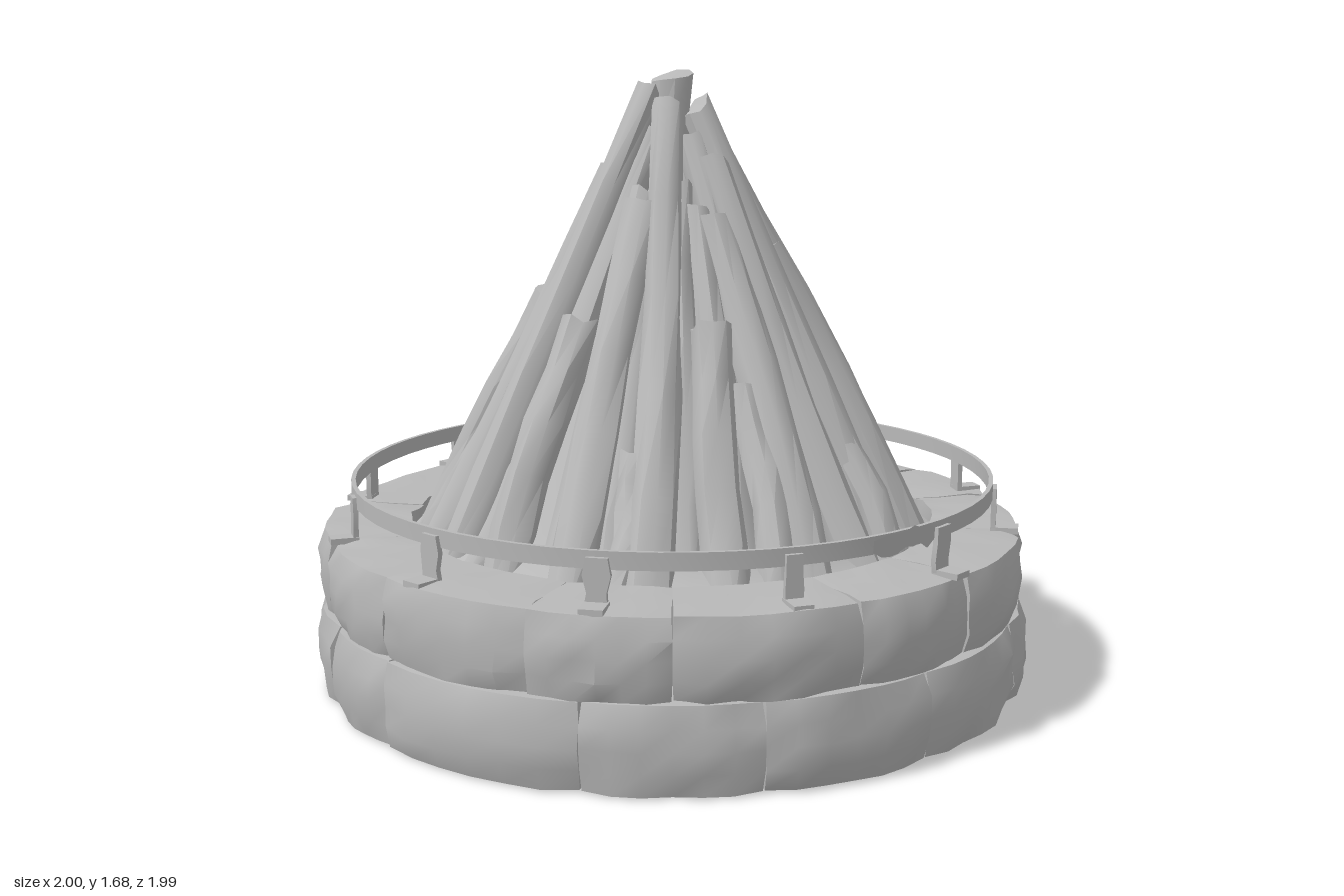
import * as THREE from 'three';
import { toCreasedNormals } from 'three/addons/utils/BufferGeometryUtils.js';

const stoneGrey = new THREE.MeshStandardMaterial({ color: 0xb8b8b8, side: THREE.DoubleSide });
stoneGrey.name = 'plain grey';

// Repeatable noise: hash in 0..1, and a signed version keyed on position
const hash = (n) => { const s = Math.sin(n * 127.1 + 11.7) * 43758.5453; return s - Math.floor(s); };
const rough = (p, seed) => hash(Math.round(p.x * 50) + Math.round(p.y * 50) * 3.7 + Math.round(p.z * 50) * 7.3 + seed * 13.1) * 2 - 1;
const polar = (a, r, y) => new THREE.Vector3(r * Math.sin(a), y, r * Math.cos(a));
const rad = THREE.MathUtils.degToRad;

function reshape(geometry, rule) {
  const pos = geometry.attributes.position, p = new THREE.Vector3();
  for (let i = 0; i < pos.count; i++) {
    p.fromBufferAttribute(pos, i);
    rule(p);
    pos.setXYZ(i, p.x, p.y, p.z);
  }
  return toCreasedNormals(geometry, 0.75);
}

function add(parent, geometry, name) {
  const mesh = new THREE.Mesh(geometry, stoneGrey);
  mesh.name = name;
  parent.add(mesh);
  return mesh;
}

// One worn block, bent around the ring between two angles
function stone(a0, a1, y0, y1, rIn, rOut, seed) {
  return reshape(new THREE.BoxGeometry(2, 2, 2, 6, 4, 3), (p) => {
    const n = rough(p, seed), u = p.x, v = p.y, w = p.z;
    const a = (a0 + a1) / 2 + u * (a1 - a0) / 2 * (1 - 0.012 * Math.abs(v) ** 4 * (w > 0 ? 1 : 0));
    const worn = 0.014 * Math.abs(u) ** 5 + 0.018 * Math.abs(v) ** 5;
    const r = THREE.MathUtils.lerp(rIn, rOut, (w + 1) / 2) + n * 0.008 - (w > 0.9 ? worn : 0);
    const h = (y1 - y0) / 2 * (1 - 0.03 * Math.abs(u) ** 6 - (w > 0.9 ? 0.04 : 0));
    p.copy(polar(a, r, (y0 + y1) / 2 + v * h + (v > 0.9 ? n * 0.004 : 0)));
  });
}

// A rough log with a slanted cut top, laid from foot to tip
function log(foot, tip, rFoot, rTip, seed) {
  const axis = tip.clone().sub(foot), length = axis.length();
  const turn = new THREE.Quaternion().setFromUnitVectors(new THREE.Vector3(0, 1, 0), axis.normalize());
  const tilt = (hash(seed + 3) - 0.5) * 1.2, bend = (hash(seed + 5) - 0.5) * 0.03;
  return reshape(new THREE.CylinderGeometry(1, 1, 1, 9, 5), (p) => {
    const t = p.y + 0.5, n = rough(p, seed);
    const r = THREE.MathUtils.lerp(rFoot, rTip, t) * (1 + n * 0.09);
    const cut = t > 0.99 ? p.x * rTip * tilt + n * 0.01 : 0;
    p.set(p.x * r + bend * Math.sin(t * Math.PI), t * length + cut, p.z * r + bend * Math.sin(t * 5));
    p.applyQuaternion(turn).add(foot);
  });
}

export function createModel() {
  const model = new THREE.Group();
  model.name = 'bonfire';

  // Two courses of stones with staggered, uneven joints
  const courses = [
    { name: 'lowerStone', y0: 0, y1: 0.235, rIn: 0.76, rOut: 1.0, count: 13, shift: 0.3 },
    { name: 'upperStone', y0: 0.225, y1: 0.445, rIn: 0.73, rOut: 0.985, count: 14, shift: 0.07 },
  ];
  const ring = new THREE.Group();
  ring.name = 'stoneRing';
  model.add(ring);
  courses.forEach((c, k) => {
    const step = Math.PI * 2 / c.count;
    const joint = (i) => c.shift + step * (i + 0.4 * (hash((i % c.count) + k * 40) - 0.5));
    for (let i = 0; i < c.count; i++) {
      add(ring, stone(joint(i), joint(i + 1), c.y0, c.y1, c.rIn,
        c.rOut - hash(i + k * 9) * 0.012, i + k * 20), c.name);
    }
  });

  // Recessed floor, and the mound of ash between the logs
  const floor = add(model, new THREE.CircleGeometry(0.78, 40), 'floor');
  floor.rotation.x = Math.PI / 2;
  floor.position.y = 0.07;
  const mound = [[0.76, 0.4], [0.68, 0.42], [0.56, 0.5], [0.38, 0.85], [0.2, 1.2], [0.04, 1.5]];
  add(model, new THREE.LatheGeometry(mound.map(([r, y]) => new THREE.Vector2(r, y)), 32), 'mound');

  // Outer logs going round from the front: angle in degrees, tip height
  const outerLogs = [
    [0, 1.43], [14, 1.58], [33, 1.2], [50, 1.5], [69, 1.3], [87, 1.03], [107, 1.33], [127, 1.15],
    [146, 1.5], [163, 1.28], [181, 1.62], [201, 1.3], [220, 1.08], [236, 1.4], [252, 1.62],
    [270, 1.03], [288, 1.33], [306, 1.58], [324, 1.02], [342, 1.3],
  ];
  const logs = new THREE.Group();
  logs.name = 'logPile';
  model.add(logs);
  const slope = (y) => 0.085 + (1.6 - y) * 0.475;
  outerLogs.forEach(([degrees, y], i) => {
    const a = rad(degrees), lean = (hash(i + 30) - 0.5) * 0.1;
    const out = (hash(i + 60) - 0.5) * 0.03;
    const tipRadius = Math.max(0.07, slope(y) - (y > 1.1 ? 0.025 : 0));
    add(logs, log(polar(a, 0.665 + out, 0.37), polar(a + lean, tipRadius, y),
      0.064, y > 1.4 ? 0.042 : 0.052, i), 'outerLog');
  });

  // Inner logs fill the gaps and lean closer to the centre
  for (let i = 0; i < 20; i++) {
    const a = (i + 0.5) / 20 * Math.PI * 2 + (hash(i + 80) - 0.5) * 0.1;
    const y = 1.2 + hash(i + 90) * 0.33;
    add(logs, log(polar(a, 0.6, 0.38), polar(a, slope(y) - 0.055, y), 0.055, 0.04, i + 50), 'innerLog');
  }

  // Short split pieces resting on the pile
  for (let i = 0; i < 10; i++) {
    const a = (i + 0.3) / 10 * Math.PI * 2, y = 0.62 + hash(i + 120) * 0.26;
    add(logs, log(polar(a, 0.665, 0.39), polar(a + 0.06, slope(y) - 0.01, y), 0.052, 0.047, i + 90), 'splitLog');
  }
  add(logs, log(new THREE.Vector3(-0.01, 1.1, 0), new THREE.Vector3(-0.015, 1.66, 0), 0.05, 0.058, 140), 'centreLog');

  // Thin hoop rail
  const hoop = [[0.88, 0.53], [0.892, 0.53], [0.892, 0.575], [0.88, 0.575], [0.88, 0.53]];
  const rail = new THREE.LatheGeometry(hoop.map(([r, y]) => new THREE.Vector2(r, y)), 64);
  add(model, toCreasedNormals(rail, 0.6), 'hoopRail');

  // Straps holding the hoop, each with a foot folded onto the stones
  for (let i = 0; i < 12; i++) {
    const post = new THREE.Group();
    post.name = 'railPost';
    post.rotation.y = i / 12 * Math.PI * 2;
    const wide = 0.045 + hash(i + 200) * 0.015;
    const strap = reshape(new THREE.BoxGeometry(wide, 0.13, 0.014, 2, 3, 1), (p) => {
      p.x *= 1 + rough(p, i) * 0.2;
    });
    add(post, strap, 'strap').position.set(0, 0.495, 0.895);
    add(post, new THREE.BoxGeometry(wide, 0.016, 0.075), 'strapFoot').position.set(0, 0.445, 0.925);
    model.add(post);
  }

  // Torn cloth wound on the hoop at the front
  const cloth = new THREE.CylinderGeometry(0.9, 0.897, 0.045, 8, 1, true, -0.28, 0.24);
  add(model, reshape(cloth, (p) => { p.y += 0.55 + rough(p, 4) * 0.012; }), 'tornCloth');

  return model;
}
